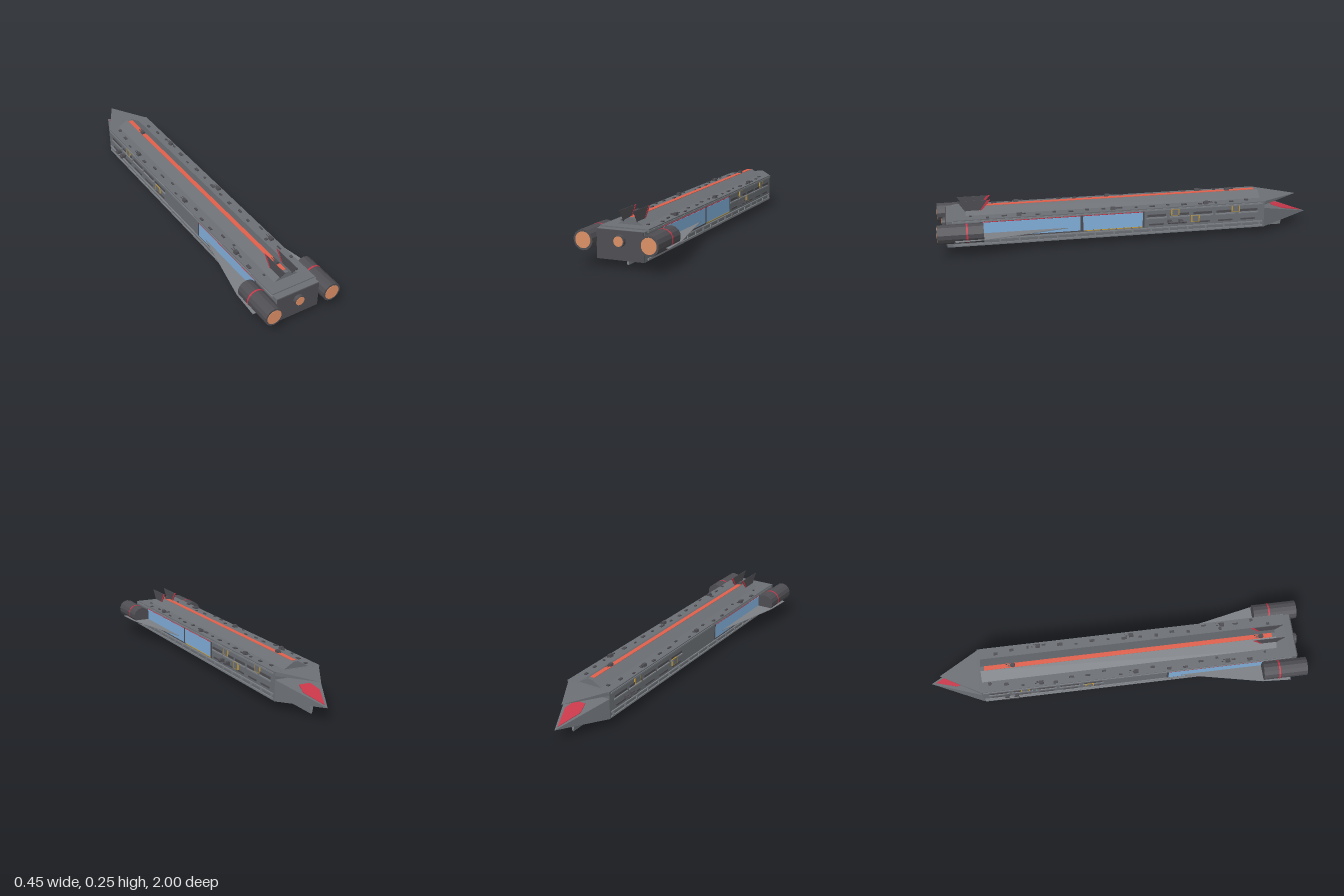
import * as THREE from 'three';
import { ConvexGeometry } from 'three/addons/geometries/ConvexGeometry.js';

const paint = (color) => new THREE.MeshStandardMaterial({ color, flatShading: true });
const MAT = {
  hull: paint(0x6c7075), dark: paint(0x4e4e53), trim: paint(0x7d8186), red: paint(0xc8384a),
  stripe: paint(0xe0604c), glass: paint(0x82b0dc), glow: paint(0xdd9066), yellow: paint(0xc09a3c),
};

export function createModel() {
  const root = new THREE.Group();
  root.name = 'spaceship';

  const add = (name, geo, mat, x = 0, y = 0, z = 0) => {
    const m = new THREE.Mesh(geo, MAT[mat]);
    m.name = name;
    m.position.set(x, y, z);
    root.add(m);
    return m;
  };
  // Box given by its centre and size
  const box = (name, mat, x, y, z, w, h, d) => add(name, new THREE.BoxGeometry(w, h, d), mat, x, y, z);
  // Solid around a few corner points
  const solid = (name, mat, pts) =>
    add(name, new ConvexGeometry(pts.map((p) => new THREE.Vector3(...p))), mat);
  // Profile in x and y swept from z0 to z1
  const prism = (name, mat, profile, z0, z1) =>
    solid(name, mat, profile.flatMap(([x, y]) => [[x, y, z0], [x, y, z1]]));
  // Cylinder lying along z
  const tube = (name, mat, r, x, y, z0, z1, sides = 14) => {
    const geo = new THREE.CylinderGeometry(r, r, z1 - z0, sides).rotateX(Math.PI / 2);
    return add(name, geo, mat, x, y, (z0 + z1) / 2);
  };

  // Main hull, roof plate and raised roof ridge
  box('hull', 'hull', 0, 0.108, 0.11, 0.24, 0.14, 1.68);
  box('sternPlate', 'dark', 0, 0.108, 0.952, 0.238, 0.138, 0.006);
  box('roofPlate', 'hull', 0, 0.18, 0.09, 0.246, 0.008, 1.65);
  prism('roofRidge', 'hull', [[-0.068, 0.182], [0.068, 0.182], [0.012, 0.215], [-0.012, 0.215]], -0.72, 0.85);
  box('roofStripe', 'stripe', 0, 0.2155, 0.065, 0.024, 0.003, 1.53);

  // Nose: thin upper beak over a pointed lower bow
  solid('upperBeak', 'hull', [
    [-0.12, 0.184, -0.73], [0.12, 0.184, -0.73], [-0.12, 0.163, -0.73], [0.12, 0.163, -0.73], [0, 0.175, -0.94],
  ]);
  solid('lowerBow', 'hull', [
    [-0.12, 0.038, -0.73], [0.12, 0.038, -0.73], [-0.12, 0.145, -0.73], [0.12, 0.145, -0.73], [0, 0.068, -1],
  ]);
  const bowTop = (z) => 0.068 + (z + 1) * (0.077 / 0.27);
  solid('bowWindow', 'red', [0, 0.003].flatMap((lift) => [
    [0, bowTop(-0.975) + lift, -0.975],
    [-0.045, bowTop(-0.86) + lift, -0.86], [0.045, bowTop(-0.86) + lift, -0.86],
    [-0.03, bowTop(-0.8) + lift, -0.8], [0.03, bowTop(-0.8) + lift, -0.8],
  ]));

  // Keel fin and pods under the belly
  prism('keel', 'trim', [[-0.01, 0.039], [0.01, 0.039], [0.003, 0], [-0.003, 0]], -0.865, 0.88);
  for (const s of [-1, 1]) {
    for (let i = 0; i < 7; i++) {
      const z = 0.77 - i * 0.115, x = s * 0.04;
      prism('bellyPod', 'dark', [[x - 0.014, 0.039], [x + 0.014, 0.039], [x + 0.009, 0.029], [x - 0.009, 0.029]],
        z - 0.04, z + 0.04);
      box('bellyMarker', 'yellow', s * 0.075, 0.0375, z, 0.012, 0.003, 0.03);
    }
  }

  // Central exhaust
  tube('centreExhaust', 'dark', 0.029, 0, 0.13, 0.95, 0.972, 16);
  tube('centreGlow', 'glow', 0.024, 0, 0.13, 0.96, 0.974, 16);

  for (const s of [-1, 1]) {
    // Engine with its ring, glow and pylon
    const ex = s * 0.165;
    tube('engine', 'dark', 0.049, ex, 0.129, 0.765, 0.998);
    tube('engineBand', 'red', 0.0502, ex, 0.129, 0.844, 0.853);
    tube('engineGlow', 'glow', 0.039, ex, 0.129, 0.98, 1);
    box('enginePylon', 'dark', s * 0.12, 0.129, 0.86, 0.03, 0.05, 0.16);

    // Thin swept wing
    prismWing(s);

    // Tail fin with a red leading edge
    const fx = s * 0.035;
    const fin = (name, mat, t, back) => solid(name, mat, [-t, t].flatMap((d) => [
      [fx + d, 0.195, 0.77], [fx + d, 0.195, 0.77 + back * 0.08],
      [fx + d, 0.254, 0.72], [fx + d, 0.254, 0.72 + back * 0.17],
    ]));
    fin('tailFin', 'dark', 0.0012, 1);
    fin('tailFinEdge', 'red', 0.0018, 0.1);

    // Side rails with ribs
    for (const [y, h] of [[0.174, 0.008], [0.072, 0.006], [0.048, 0.008]])
      box('sideRail', 'trim', s * 0.122, y, 0.1, 0.008, h, 1.64);
    for (let i = 0; i < 17; i++)
      box('railRib', 'trim', s * 0.122, 0.06, 0.88 - i * 0.099, 0.007, 0.02, 0.008);
    // Forward side slots and raised bars
    for (let i = 0; i < 5; i++) {
      box('sideSlot', 'dark', s * 0.121, 0.142, -0.14 - i * 0.125, 0.006, 0.012, 0.1);
      box('sideBar', 'trim', s * 0.122, 0.128, -0.14 - i * 0.125, 0.008, 0.006, 0.11);
      box('lowerSlot', 'dark', s * 0.121, 0.092, -0.14 - i * 0.125, 0.006, 0.008, 0.08);
    }

    // Roof edge turrets
    for (const z of [-0.41, 0.09, 0.58]) turret(s * 0.103, 0.184, z);
  }
  turret(0, 0.215, -0.55);
  turret(0, 0.215, 0.77);

  function prismWing(s) {
    solid('wing', 'trim', [0.1035, 0.1065].flatMap((y) => [
      [s * 0.118, y, 0.3], [s * 0.118, y, 0.91], [s * 0.224, y, 0.91], [s * 0.215, y, 0.76],
    ]));
  }

  // Small turret: tapered base and twin barrels pointing forward
  function turret(x, y, z) {
    prism('turret', 'dark', [[x - 0.011, y], [x + 0.011, y], [x + 0.007, y + 0.014], [x - 0.007, y + 0.014]],
      z - 0.012, z + 0.012);
    for (const d of [-0.005, 0.005]) tube('turretBarrel', 'dark', 0.0018, x + d, y + 0.009, z - 0.035, z, 6);
  }

  // Side windows: two on the left, one on the right
  const sideWindow = (s, z0, z1) => {
    const mid = (z0 + z1) / 2, len = z1 - z0;
    box('windowFrame', 'dark', s * 0.1205, 0.125, mid, 0.005, 0.09, len + 0.02);
    box('window', 'glass', s * 0.1215, 0.125, mid, 0.006, 0.078, len);
    box('windowTopTrim', 'red', s * 0.1225, 0.167, mid, 0.006, 0.003, len);
  };
  sideWindow(1, 0.265, 0.77);
  sideWindow(1, -0.065, 0.25);
  sideWindow(-1, 0.265, 0.77);
  box('windowSill', 'yellow', 1 * 0.1235, 0.083, 0.09, 0.004, 0.004, 0.31);

  // Framed hatches
  for (const [s, z, y] of [[1, -0.24, 0.155], [1, -0.57, 0.155], [1, -0.35, 0.112], [-1, -0.16, 0.115], [-1, -0.5, 0.155]]) {
    box('hatchFrame', 'yellow', s * 0.1225, y, z, 0.007, 0.036, 0.046);
    box('hatchDoor', 'hull', s * 0.1235, y, z, 0.007, 0.03, 0.034);
  }

  // Side guns, one pair per side
  for (const [s, z] of [[1, -0.27], [1, -0.21], [-1, -0.6], [-1, -0.55]]) {
    box('gunMount', 'dark', s * 0.127, 0.105, z, 0.018, 0.016, 0.02);
    tube('gun', 'dark', 0.007, s * 0.142, 0.105, z - 0.012, z + 0.012, 8);
  }

  // Scattered roof fittings
  let seed = 7;
  const rnd = () => (seed = (seed * 16807) % 2147483647) / 2147483647;
  for (let i = 0; i < 36; i++) {
    const x = (i % 2 ? 1 : -1) * (0.078 + rnd() * 0.035);
    box('roofFitting', 'dark', x, 0.186, -0.68 + (i / 36) * 1.55, 0.006 + rnd() * 0.01, 0.006, 0.01 + rnd() * 0.02);
  }
  return root;
}
